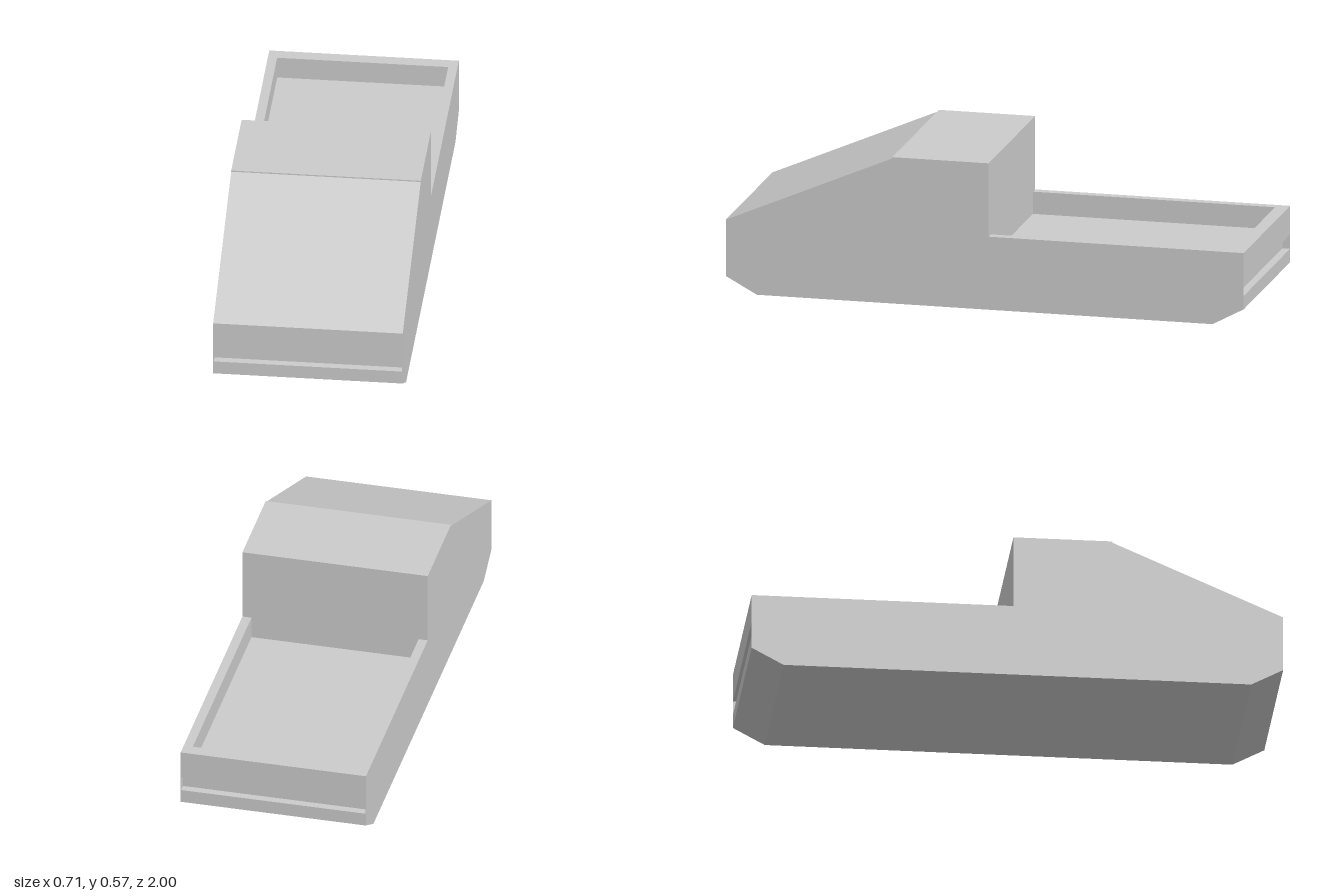
import * as THREE from 'three';

const HALF = 0.357;     // half width of the body
const SKIN = 0.002;     // thin side plates closing the groove ends
const BED_HALF = 0.322; // half width of the cargo bed
const DECK = 0.283;     // height of bonnet edge and bed rails
const GROOVE = { low: 0.117, high: 0.173, depth: 0.03 };

// Side outline as [z, y] points, counter-clockwise
function outline({ grooves, bed }) {
  const { low, high, depth } = GROOVE;
  const points = [[-0.88, 0], [0.88, 0], [1, 0.065]];
  if (grooves) points.push([1, low], [1 - depth, low], [1 - depth, high], [1, high]);
  // sloping windscreen, small roof lip, roof and rear cab wall
  points.push([1, DECK], [0.357, 0.562], [0.357, 0.567], [-0.015, 0.567]);
  if (bed) points.push([-0.015, 0.197], [-0.95, 0.197], [-0.95, DECK]);
  else points.push([-0.015, DECK]);
  points.push([-1, DECK]);
  if (grooves) points.push([-1, high], [depth - 1, high], [depth - 1, low], [-1, low]);
  points.push([-1, 0.065]);
  return points;
}

// Extrude a side outline between two x positions
function slab(name, options, x0, x1, material) {
  const shape = new THREE.Shape(outline(options).map(([z, y]) => new THREE.Vector2(z, y)));
  const geometry = new THREE.ExtrudeGeometry(shape, { depth: x1 - x0, bevelEnabled: false });
  geometry.rotateY(-Math.PI / 2).translate(x1, 0, 0);
  const mesh = new THREE.Mesh(geometry, material);
  mesh.name = name;
  return mesh;
}

export function createModel() {
  const model = new THREE.Group();
  model.name = 'pickupBody';
  const material = new THREE.MeshStandardMaterial({ color: 0xcccccc, flatShading: true });

  // Middle of the body with the sunken bed and bumper grooves
  model.add(slab('cabAndBed', { grooves: true, bed: true }, -BED_HALF, BED_HALF, material));

  // Bed side rails and the plates outside them, mirrored
  const inner = HALF - SKIN;
  for (const [side, sign] of [['left', 1], ['right', -1]]) {
    const span = (a, b) => (sign > 0 ? [a, b] : [-b, -a]);
    model.add(slab(side + 'Rail', { grooves: true, bed: false }, ...span(BED_HALF, inner), material));
    model.add(slab(side + 'SidePlate', { grooves: false, bed: false }, ...span(inner, HALF), material));
  }
  return model;
}
